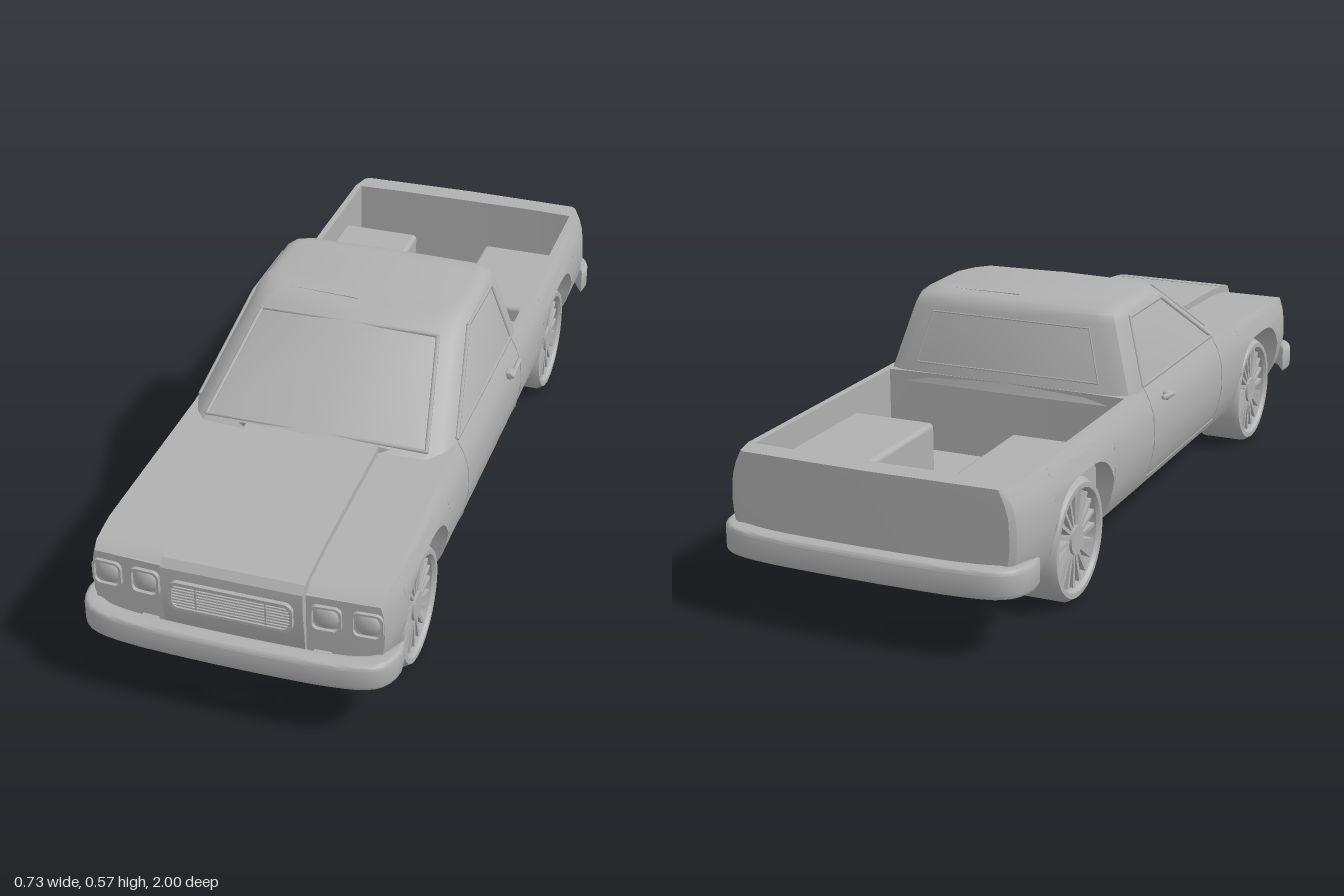
import * as THREE from 'three';
import { toCreasedNormals } from 'three/addons/utils/BufferGeometryUtils.js';
import { RoundedBoxGeometry } from 'three/addons/geometries/RoundedBoxGeometry.js';

const grey = new THREE.MeshStandardMaterial({ color: 0xb0b0b0 });
grey.name = 'plain grey';

function add(parent, name, geometry, x = 0, y = 0, z = 0) {
  const mesh = new THREE.Mesh(geometry, grey);
  mesh.name = name;
  mesh.position.set(x, y, z);
  parent.add(mesh);
  return mesh;
}

// Piecewise linear lookup through [input, output] pairs
function lookup(table, v) {
  if (v <= table[0][0]) return table[0][1];
  for (let i = 1; i < table.length; i++) {
    const [a, p] = table[i - 1], [b, q] = table[i];
    if (v <= b) return p + (q - p) * (v - a) / (b - a);
  }
  return table[table.length - 1][1];
}

// Completes a half ring that starts and ends on x = 0
const mirrorRing = half => [...half, ...half.slice(1, -1).reverse().map(([x, y, z]) => [-x, y, z])];

// Skin between closed rings
function loft(rings, crease) {
  const pos = [];
  const A = new THREE.Vector3(), B = new THREE.Vector3(), C = new THREE.Vector3();
  const tri = (a, b, c) => {
    A.set(...a); B.set(...b).sub(A); C.set(...c).sub(A);
    if (B.cross(C).length() > 1e-9) pos.push(...a, ...b, ...c);
  };
  for (let j = 0; j < rings.length - 1; j++) {
    const p = rings[j], q = rings[j + 1], n = p.length;
    for (let i = 0; i < n; i++) {
      const k = (i + 1) % n;
      tri(p[i], p[k], q[k]);
      tri(p[i], q[k], q[i]);
    }
  }
  const g = new THREE.BufferGeometry();
  g.setAttribute('position', new THREE.Float32BufferAttribute(pos, 3));
  return toCreasedNormals(g, crease);
}

// Thin round strip between two points
function strip(parent, name, a, b, r) {
  const p = new THREE.Vector3(...a), q = new THREE.Vector3(...b);
  const d = q.clone().sub(p);
  const m = add(parent, name, new THREE.CylinderGeometry(r, r, d.length() + r, 6));
  m.position.copy(p).add(q).multiplyScalar(0.5);
  m.quaternion.setFromUnitVectors(new THREE.Vector3(0, 1, 0), d.normalize());
}
function stripLoop(parent, name, pts, r) {
  pts.forEach((p, i) => strip(parent, name, p, pts[(i + 1) % pts.length], r));
}

function roundRect(w, h, r, Type = THREE.Shape) {
  const s = new Type(), x = w / 2, y = h / 2;
  s.absarc(x - r, y - r, r, 0, Math.PI / 2);
  s.absarc(-x + r, y - r, r, Math.PI / 2, Math.PI);
  s.absarc(-x + r, -y + r, r, Math.PI, Math.PI * 1.5);
  s.absarc(x - r, -y + r, r, Math.PI * 1.5, Math.PI * 2);
  s.closePath();
  return s;
}
function bezel(w, h, r, t, depth) {
  const s = roundRect(w, h, r);
  s.holes.push(roundRect(w - 2 * t, h - 2 * t, r - t / 2, THREE.Path));
  return new THREE.ExtrudeGeometry(s, { depth, bevelEnabled: false, curveSegments: 6 });
}

const BOTTOM = 0.13, WHEELS = [0.66, -0.585], ARCH = 0.17, BED = 0.18;
const sideX = y => lookup([[0.13, 0.318], [0.17, 0.34], [0.24, 0.355], [0.31, 0.352], [0.35, 0.34], [0.38, 0.324]], y);

// Lower body: one section swept from tail to nose, with arches, bed and raised hood
function bodyGeometry() {
  const stations = [];
  const put = (z, arch = BOTTOM, kind) => stations.push({ z, arch, kind: kind || (z < -0.25 ? 'bed' : z < 0.42 ? 'cab' : 'hood') });
  [-0.94, -0.93, -0.905].forEach(z => put(z, BOTTOM, 'cab'));
  const arch = c => {
    put(c - ARCH);
    for (let i = 0; i <= 18; i++) {
      const t = -Math.cos(i / 18 * Math.PI);
      put(c + ARCH * t, 0.15 + 0.16 * Math.cbrt(Math.max(0, 1 - Math.abs(t) ** 3)));
    }
    put(c + ARCH);
  };
  put(-0.885, BOTTOM, 'cab'); put(-0.88, BOTTOM, 'bed');
  arch(WHEELS[1]);
  put(-0.255); put(-0.25, BOTTOM, 'cab'); put(0.41); put(0.43);
  arch(WHEELS[0]);
  [0.87, 0.905, 0.925].forEach(z => put(z));

  const rings = stations.map(({ z, arch: low, kind }) => {
    const top = lookup([[0.42, 0.375], [0.8, 0.362], [0.905, 0.35], [0.925, 0.335]], z);
    const k = lookup([[-0.94, 0.93], [-0.93, 0.965], [-0.88, 1], [0.84, 1], [0.905, 0.975], [0.925, 0.95]], z);
    const inner = kind === 'bed' ? [0.31, BED] : kind === 'hood' ? [0.163, top + 0.018] : [0.2, top];
    const half = [[0, BOTTOM, z], [0.19, BOTTOM, z], [0.19, low, z]];
    for (let i = 0; i <= 8; i++) {
      const y = low + (top - low) * i / 8;
      half.push([sideX(y) * k, y, z]);
    }
    half.push([inner[0], top, z], [inner[0], inner[1], z], [0, inner[1], z]);
    return mirrorRing(half);
  });
  // close the ends on the centre line
  const flat = (ring, dz) => ring.map(([, y, z]) => [0, y, z + dz]);
  return loft([flat(rings[0], -0.006), ...rings, flat(rings[rings.length - 1], 0.015)], 0.6);
}

// Cab: rounded plan rings stacked upward
function cabGeometry() {
  const ring = (y, w, f, b, c = 1) => mirrorRing([
    [0, y, f], [w - 0.05, y, f - 0.012], [w - 0.022, y, f - 0.045 * c], [w, y, f - 0.1 * c],
    [w, y, b + 0.05], [w - 0.012, y, b + 0.018], [w - 0.045, y, b + 0.004], [0, y, b]]);
  const rings = [
    ring(0.35, 0.326, 0.47, -0.257), ring(0.375, 0.324, 0.435, -0.25),
    ring(0.535, 0.276, 0.18, -0.217), ring(0.555, 0.268, 0.147, -0.207),
    ring(0.567, 0.255, 0.118, -0.19), ring(0.573, 0.235, 0.09, -0.165)];
  rings.push(rings[5].map(([, y, z]) => [0, y + 0.002, z]));
  return loft(rings, 0.55);
}

// Wrap-around bumper: curved plan shape extruded upward
function bumperGeometry() {
  const s = new THREE.Shape();
  s.moveTo(0.358, 0.87);
  s.bezierCurveTo(0.358, 0.97, 0.32, 0.975, 0.2, 0.985);
  s.quadraticCurveTo(0, 0.993, -0.2, 0.985);
  s.bezierCurveTo(-0.32, 0.975, -0.358, 0.97, -0.358, 0.87);
  s.bezierCurveTo(-0.335, 0.94, -0.31, 0.95, -0.2, 0.96);
  s.quadraticCurveTo(0, 0.968, 0.2, 0.96);
  s.bezierCurveTo(0.31, 0.95, 0.335, 0.94, 0.358, 0.87);
  const g = new THREE.ExtrudeGeometry(s, { depth: 0.045, bevelThickness: 0.01, bevelSize: 0.01, bevelSegments: 3, curveSegments: 10 });
  g.rotateX(Math.PI / 2).translate(0, 0.2, 0);
  return toCreasedNormals(g, 0.7);
}

function makeWheel() {
  const wheel = new THREE.Group();
  const profile = [[0.114, -0.06], [0.12, -0.068], [0.132, -0.068], [0.142, -0.052], [0.142, 0.052],
    [0.132, 0.068], [0.12, 0.068], [0.114, 0.06], [0.114, -0.06]].map(p => new THREE.Vector2(...p));
  add(wheel, 'tyre', toCreasedNormals(new THREE.LatheGeometry(profile, 36), 0.6)).rotation.z = Math.PI / 2;
  add(wheel, 'rimDisc', new THREE.CylinderGeometry(0.115, 0.115, 0.07, 36)).rotation.z = Math.PI / 2;
  add(wheel, 'hub', new THREE.CylinderGeometry(0.034, 0.034, 0.124, 20)).rotation.z = Math.PI / 2;
  for (let i = 0; i < 20; i++) {
    const spoke = new THREE.Group();
    spoke.name = 'spoke';
    spoke.rotation.x = i / 20 * Math.PI * 2;
    add(spoke, 'spokeBar', new THREE.BoxGeometry(0.112, 0.09, 0.009), 0, 0.072, 0).rotation.y = 0.08;
    wheel.add(spoke);
  }
  return wheel;
}

export function createModel() {
  const truck = new THREE.Group();
  truck.name = 'pickupTruck';
  add(truck, 'body', bodyGeometry());
  add(truck, 'cab', cabGeometry());

  // Raised nose between the headlights
  const nose = new THREE.Shape([[0.88, 0.135], [0.925, 0.135], [0.942, 0.2], [0.953, 0.3], [0.95, 0.345], [0.935, 0.363], [0.88, 0.372]]
    .map(([z, y]) => new THREE.Vector2(-z, y)));
  add(truck, 'nose', toCreasedNormals(new THREE.ExtrudeGeometry(nose, { depth: 0.326, bevelEnabled: false }).rotateY(Math.PI / 2).translate(-0.163, 0, 0), 0.6));

  // Grille
  const grille = new THREE.Group();
  grille.name = 'grille';
  grille.position.set(0, 0.284, 0.945);
  truck.add(grille);
  add(grille, 'grilleFrame', bezel(0.284, 0.074, 0.02, 0.007, 0.017));
  for (let i = 0; i < 8; i++) add(grille, 'grilleSlat', new THREE.BoxGeometry(0.272, 0.004, 0.012), 0, -0.027 + i * 0.0077, 0.007);
  for (const x of [-0.08, 0.08]) add(grille, 'grillePost', new THREE.BoxGeometry(0.004, 0.062, 0.014), x, 0, 0.007);

  // Bumpers with brackets
  for (const [name, turn] of [['frontBumper', 0], ['rearBumper', Math.PI]]) {
    const bumper = new THREE.Group();
    bumper.name = name;
    bumper.rotation.y = turn;
    add(bumper, 'bumperBar', bumperGeometry());
    for (const x of [-0.2, 0.2]) add(bumper, 'bumperBracket', new THREE.BoxGeometry(0.04, 0.03, 0.1), x, 0.178, 0.92);
    truck.add(bumper);
  }

  // Windscreen and rear window trims
  const screenZ = y => 0.435 - (y - 0.375) * 1.594;
  stripLoop(truck, 'windscreenTrim', [[-0.272, 0.386], [0.272, 0.386], [0.222, 0.545], [-0.222, 0.545]]
    .map(([x, y]) => [x, y, screenZ(y) - 0.01]), 0.005);
  stripLoop(truck, 'rearWindowTrim', [[-0.24, 0.4], [0.24, 0.4], [0.205, 0.525], [-0.205, 0.525]]
    .map(([x, y]) => [x, y, -0.245 + (y - 0.4) * 0.206]), 0.002);

  for (const s of [-1, 1]) {
    // Side window, door seam and handle
    const cabX = y => s * (0.324 - (y - 0.375) * 0.3);
    stripLoop(truck, 'sideWindowTrim', [[0.325, 0.382], [0.075, 0.54], [-0.135, 0.54], [-0.165, 0.382]]
      .map(([z, y]) => [cabX(y), y, z]), 0.005);
    const seam = [];
    for (let y = 0.155; y < 0.376; y += 0.022) seam.push(y);
    for (const z of [0.33, -0.165]) {
      for (let i = 1; i < seam.length; i++)
        strip(truck, 'doorSeam', [s * sideX(seam[i - 1]), seam[i - 1], z], [s * sideX(seam[i]), seam[i], z], 0.002);
    }
    strip(truck, 'doorSeam', [s * sideX(0.155), 0.155, 0.33], [s * sideX(0.155), 0.155, -0.165], 0.002);
    add(truck, 'doorHandle', new RoundedBoxGeometry(0.012, 0.012, 0.075, 2, 0.005), s * 0.359, 0.342, -0.085).rotation.x = 0.12;
    add(truck, 'handleBase', new RoundedBoxGeometry(0.02, 0.022, 0.03, 2, 0.006), s * 0.348, 0.337, -0.065);

    // Wheel housings inside the bed
    add(truck, 'bedWheelHousing', new RoundedBoxGeometry(0.215, 0.14, 0.325, 3, 0.012), s * 0.2075, 0.245, -0.59);

    // Paired headlights
    for (const x of [0.208, 0.299]) {
      const lamp = new THREE.Group();
      lamp.name = 'headlight';
      lamp.position.set(s * x, 0.284, x > 0.25 ? 0.923 : 0.928);
      lamp.rotation.y = s * 0.05;
      add(lamp, 'headlightBezel', bezel(0.07, 0.066, 0.016, 0.005, 0.012));
      add(lamp, 'headlightLens', new THREE.SphereGeometry(0.029, 20, 12).scale(1, 1, 0.45));
      truck.add(lamp);
    }

    // Wheels
    WHEELS.forEach((z, i) => {
      const wheel = makeWheel();
      wheel.name = (i ? 'rear' : 'front') + (s > 0 ? 'Left' : 'Right') + 'Wheel';
      wheel.position.set(s * 0.27, 0.143, z);
      truck.add(wheel);
    });
  }
  return truck;
}
